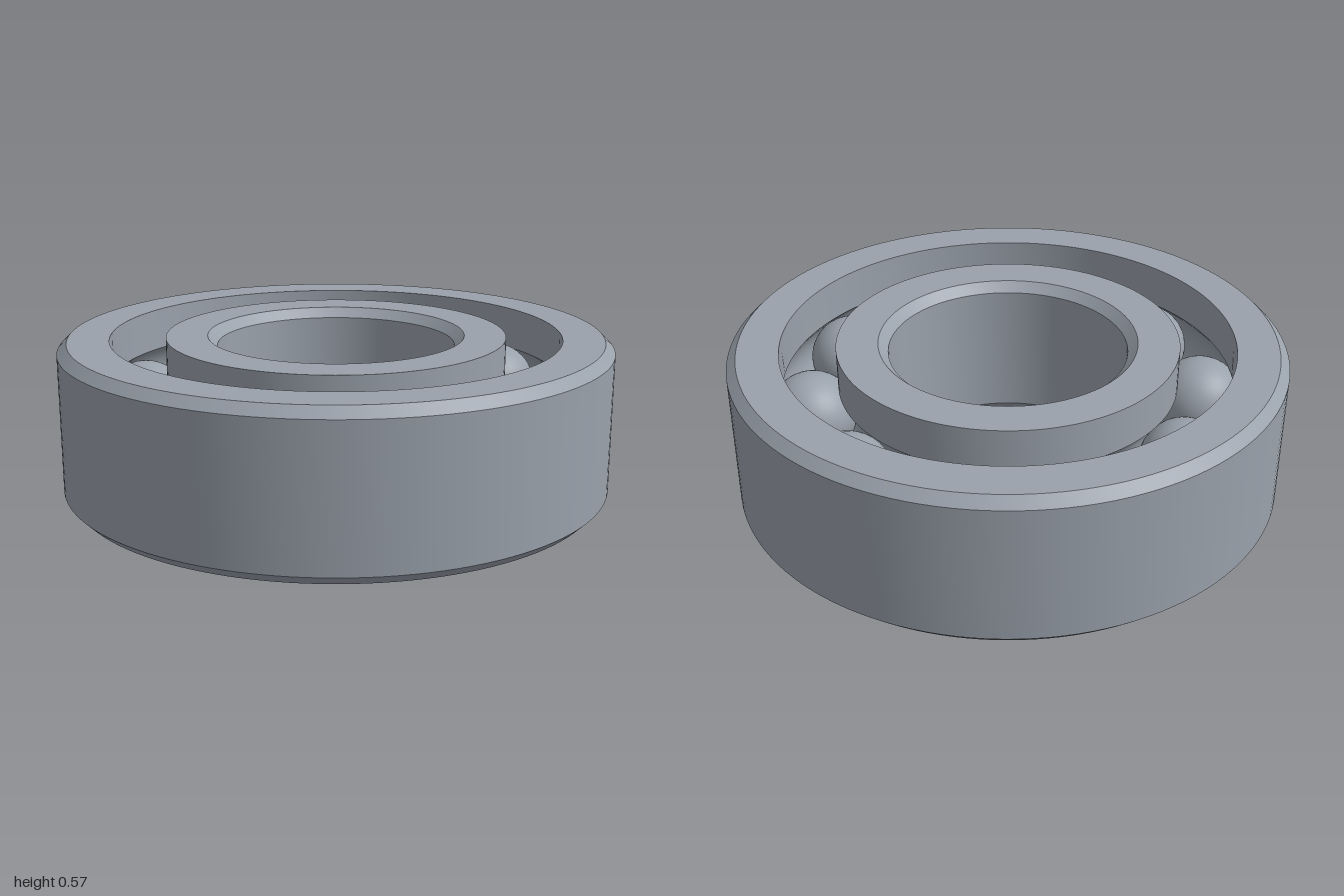
import * as THREE from 'three';
import { toCreasedNormals } from 'three/addons/utils/BufferGeometryUtils.js';

const HEIGHT = 0.57, MID = HEIGHT / 2, CHAMFER = 0.035;
const OUTER_R = 1, OUTER_INNER_R = 0.815, INNER_OUTER_R = 0.615, BORE_R = 0.43;
const PITCH_R = 0.715, BALL_R = 0.16, GROOVE_R = 0.163, BALLS = 10;

// Points of the ball groove, from one angle to the other
function groove(from, to, steps = 12) {
  return Array.from({ length: steps + 1 }, (_, i) => {
    const a = from + (to - from) * i / steps;
    return [PITCH_R + GROOVE_R * Math.cos(a), MID + GROOVE_R * Math.sin(a)];
  });
}

// Closed profile, counter-clockwise, spun around y with sharp edges kept
function ring(name, profile, material) {
  const points = [...profile, profile[0]].map(([x, y]) => new THREE.Vector2(x, y));
  const mesh = new THREE.Mesh(toCreasedNormals(new THREE.LatheGeometry(points, 128), 0.5), material);
  mesh.name = name;
  return mesh;
}

export function createModel() {
  const model = new THREE.Group();
  model.name = 'ballBearing';
  const steel = new THREE.MeshStandardMaterial({ color: 0x99a1ab });
  steel.name = 'steel';

  // Outer ring: chamfered outside, groove inside
  const ao = Math.acos((OUTER_INNER_R - PITCH_R) / GROOVE_R);
  model.add(ring('outerRing', [
    [OUTER_INNER_R, 0],
    [OUTER_R - CHAMFER, 0],
    [OUTER_R, CHAMFER],
    [OUTER_R, HEIGHT - CHAMFER],
    [OUTER_R - CHAMFER, HEIGHT],
    [OUTER_INNER_R, HEIGHT],
    ...groove(ao, -ao),
  ], steel));

  // Inner ring: chamfered bore, groove outside
  const ai = Math.acos((PITCH_R - INNER_OUTER_R) / GROOVE_R);
  model.add(ring('innerRing', [
    [BORE_R + CHAMFER, 0],
    [INNER_OUTER_R, 0],
    ...groove(Math.PI + ai, Math.PI - ai),
    [INNER_OUTER_R, HEIGHT],
    [BORE_R + CHAMFER, HEIGHT],
    [BORE_R, HEIGHT - CHAMFER],
    [BORE_R, CHAMFER],
  ], steel));

  // Balls, evenly spaced on the pitch circle
  const balls = new THREE.Group();
  balls.name = 'balls';
  const ballGeometry = new THREE.SphereGeometry(BALL_R, 40, 24);
  for (let i = 0; i < BALLS; i++) {
    const a = THREE.MathUtils.degToRad(12) + i * 2 * Math.PI / BALLS;
    const ball = new THREE.Mesh(ballGeometry, steel);
    ball.name = 'ball';
    ball.position.set(PITCH_R * Math.cos(a), MID, PITCH_R * Math.sin(a));
    balls.add(ball);
  }
  model.add(balls);
  return model;
}
